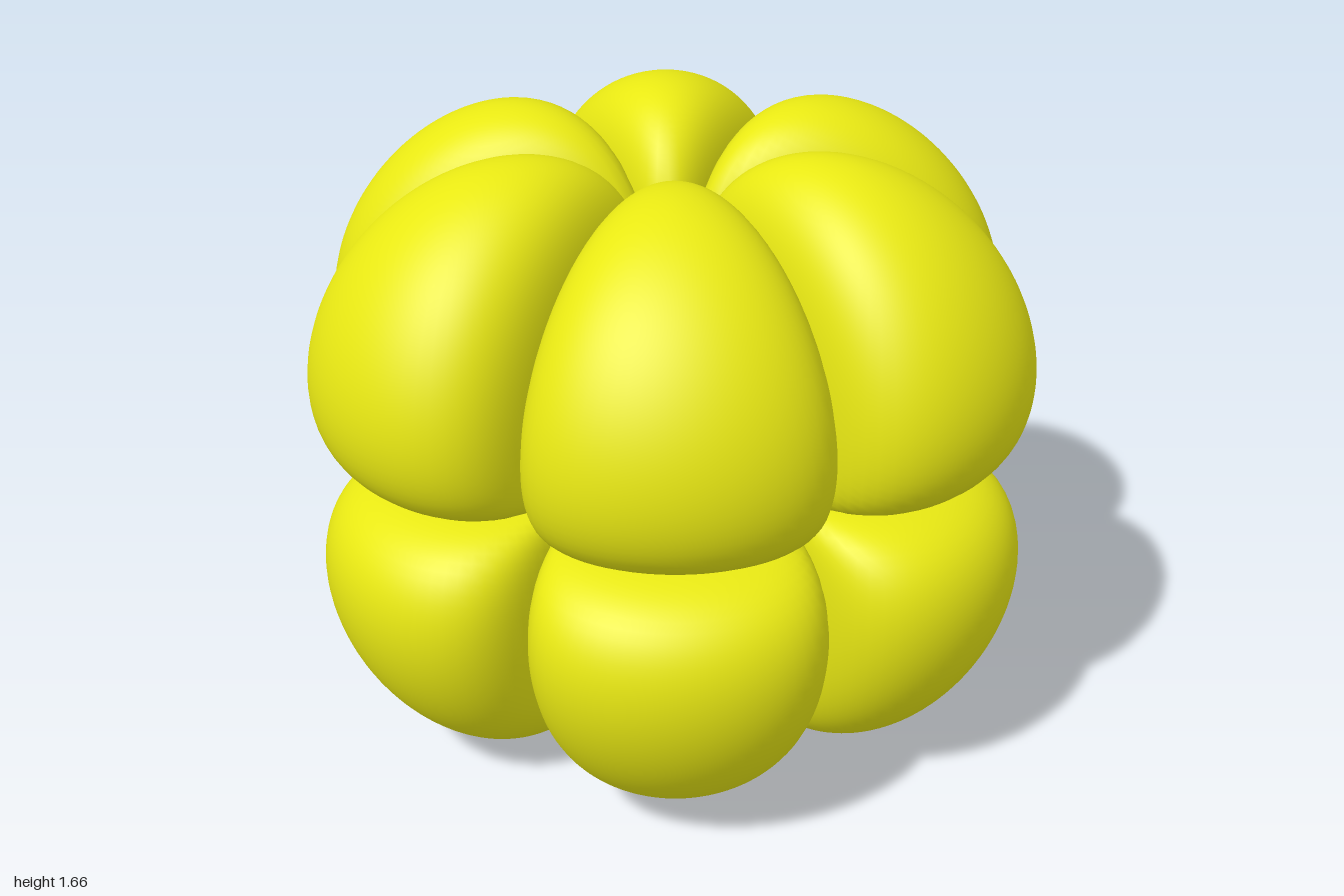
import * as THREE from 'three';
import { mergeVertices } from 'three/addons/utils/BufferGeometryUtils.js';

const DECAY = 14.2;      // exponential falloff of the field
const HALF_HEIGHT = 0.832;
const TIP = 0.045;       // small opening left around the vertical axis

// Six-fold, two-storey field: zero on the planes that separate the lobes
function logField(x, y, z) {
  const wedge = z * (z * z - 3 * x * x);
  if (y <= 0 || z <= TIP || Math.abs(x) * Math.sqrt(3) >= z) return -Infinity;
  return Math.log(y * wedge) - DECAY * Math.hypot(x, y, z);
}

// One convex lobe: a sphere whose vertices are pushed out to the level surface
function lobeGeometry() {
  const level = logField(0, 0.27, 1);
  const centre = new THREE.Vector3(0, 0.37, 0.54);
  let geometry = new THREE.SphereGeometry(1, 80, 56);
  geometry.deleteAttribute('uv');
  geometry.deleteAttribute('normal');
  geometry = mergeVertices(geometry, 1e-5);
  const position = geometry.attributes.position;
  const dir = new THREE.Vector3();
  const p = new THREE.Vector3();
  for (let i = 0; i < position.count; i++) {
    dir.fromBufferAttribute(position, i).normalize();
    let near = 0, far = 1.5;
    for (let step = 0; step < 40; step++) {
      const mid = (near + far) / 2;
      p.copy(centre).addScaledVector(dir, mid);
      if (logField(p.x, p.y, p.z) > level) near = mid;
      else far = mid;
    }
    p.copy(centre).addScaledVector(dir, near);
    position.setXYZ(i, p.x, p.y, p.z);
  }
  geometry.computeVertexNormals();
  return geometry;
}

export function createModel() {
  const model = new THREE.Group();
  model.name = 'twelveLobes';
  const material = new THREE.MeshStandardMaterial({ color: 0xe8e813 });
  const geometry = lobeGeometry();

  // Upper ring of six lobes, and the same ring turned over below it
  for (const name of ['upper', 'lower']) {
    const ring = new THREE.Group();
    ring.name = name + 'Ring';
    for (let k = 0; k < 6; k++) {
      const lobe = new THREE.Mesh(geometry, material);
      lobe.name = name + 'Lobe' + (k + 1);
      lobe.rotation.y = (k * Math.PI) / 3;
      ring.add(lobe);
    }
    ring.position.y = HALF_HEIGHT;
    if (name === 'lower') ring.rotation.z = Math.PI;
    model.add(ring);
  }
  return model;
}
